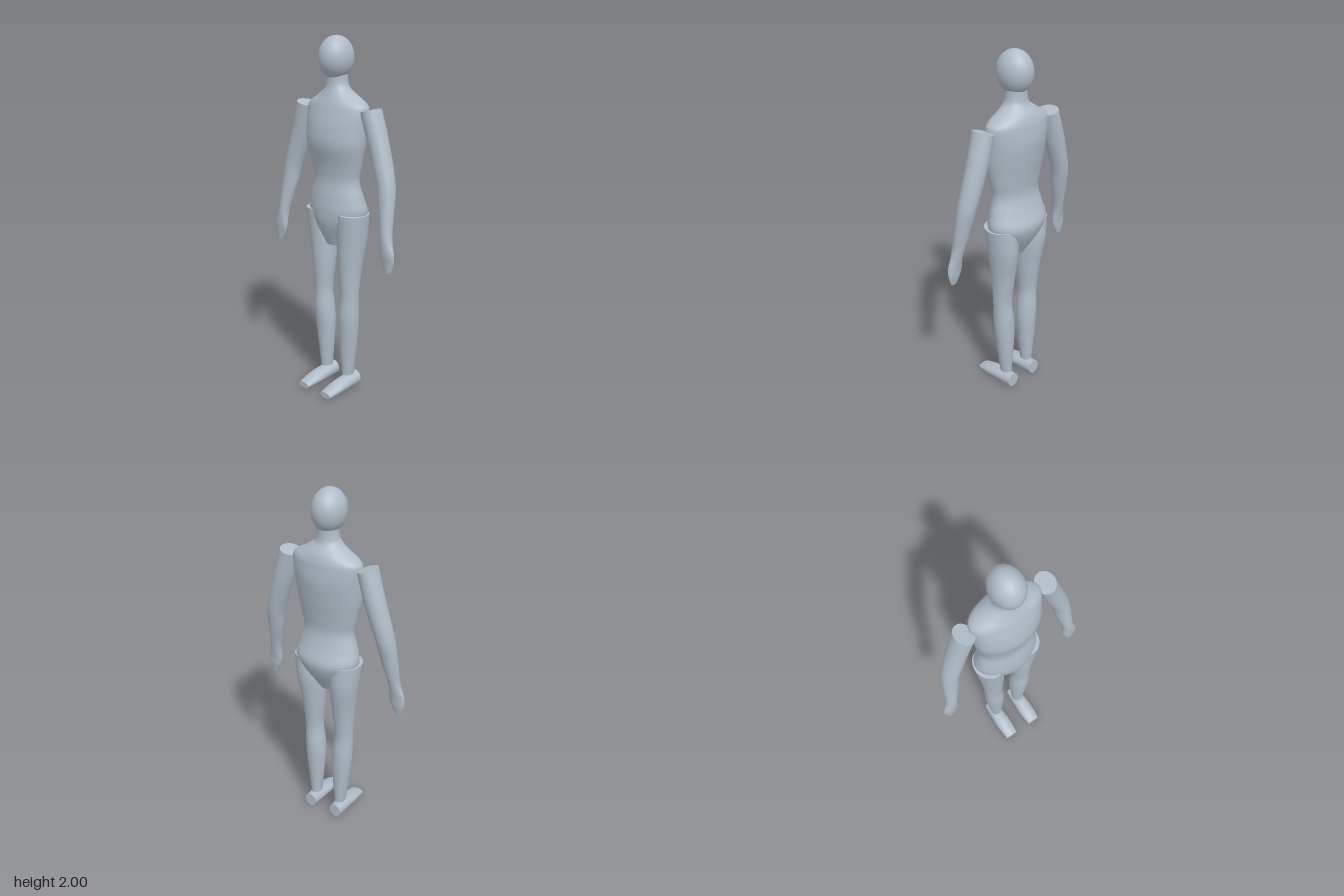
import * as THREE from 'three';

const SEG = 40;

// Sections are [x, y, z, halfWidth, halfDepth], listed from low y to high y.
// They are smoothly interpolated and skinned, with flat caps at both ends.
function loft(sections, steps = 6) {
  const n = sections.length, rows = [];
  for (let i = 0; i < n - 1; i++) {
    const [p0, p1, p2, p3] = [i - 1, i, i + 1, i + 2].map(k => sections[Math.min(n - 1, Math.max(0, k))]);
    for (let s = 0; s < steps; s++) {
      const t = s / steps;
      rows.push(p1.map((b, k) => {
        const a = p0[k], c = p2[k], d = p3[k];
        return 0.5 * (2 * b + (c - a) * t + (2 * a - 5 * b + 4 * c - d) * t * t + (3 * b - a - 3 * c + d) * t * t * t);
      }));
    }
  }
  rows.push(sections[n - 1]);

  const pos = [], idx = [];
  const ring = r => {
    const lo = rows[Math.max(0, r - 1)], hi = rows[Math.min(rows.length - 1, r + 1)];
    const dx = hi[0] - lo[0], dy = hi[1] - lo[1], len = Math.hypot(dx, dy);
    const [x, y, z, w, d] = rows[r];
    for (let j = 0; j < SEG; j++) {
      const a = j / SEG * Math.PI * 2, u = w * Math.cos(a);
      pos.push(x + u * dy / len, y - u * dx / len, z + d * Math.sin(a));
    }
  };
  rows.forEach((_, r) => ring(r));
  for (let r = 0; r < rows.length - 1; r++) {
    for (let j = 0; j < SEG; j++) {
      const a = r * SEG + j, b = r * SEG + (j + 1) % SEG;
      idx.push(a, a + SEG, b, b, a + SEG, b + SEG);
    }
  }
  // caps with their own vertices so that the rims stay sharp
  for (const r of [0, rows.length - 1]) {
    const start = pos.length / 3;
    ring(r);
    pos.push(rows[r][0], rows[r][1], rows[r][2]);
    for (let j = 0; j < SEG; j++) {
      const a = start + j, b = start + (j + 1) % SEG;
      idx.push(start + SEG, ...(r === 0 ? [a, b] : [b, a]));
    }
  }
  const g = new THREE.BufferGeometry();
  g.setAttribute('position', new THREE.Float32BufferAttribute(pos, 3));
  g.setIndex(idx);
  g.computeVertexNormals();
  return g;
}

// Section given by its front and back z
const span = (x, y, w, front, back) => [x, y, (front + back) / 2, w, (front - back) / 2];

export function createModel() {
  const model = new THREE.Group();
  const material = new THREE.MeshStandardMaterial({ color: 0xb0bcc8 });
  material.name = 'blue grey';
  const add = (name, geometry) => {
    const mesh = new THREE.Mesh(geometry, material);
    mesh.name = name;
    model.add(mesh);
    return mesh;
  };

  // Head
  const head = add('head', new THREE.SphereGeometry(1, 40, 28));
  head.scale.set(0.088, 0.113, 0.104);
  head.position.set(0, 1.887, -0.02);

  // Torso with neck
  add('torso', loft([
    span(0, 0.93, 0.095, 0.053, -0.105),
    span(0, 1.0, 0.155, 0.075, -0.143),
    span(0, 1.07, 0.19, 0.081, -0.16),
    span(0, 1.15, 0.175, 0.075, -0.133),
    span(0, 1.24, 0.152, 0.063, -0.11),
    span(0, 1.33, 0.168, 0.073, -0.118),
    span(0, 1.44, 0.19, 0.1, -0.135),
    span(0, 1.54, 0.198, 0.092, -0.146),
    span(0, 1.62, 0.203, 0.071, -0.141),
    span(0, 1.655, 0.186, 0.06, -0.135),
    span(0, 1.69, 0.127, 0.047, -0.122),
    span(0, 1.73, 0.073, 0.033, -0.094),
    span(0, 1.77, 0.058, 0.027, -0.086),
    span(0, 1.83, 0.055, 0.025, -0.084),
  ]));

  // Tapered block between the legs
  add('crotch', loft([span(0, 0.872, 0.055, 0.03, -0.07), span(0, 0.93, 0.095, 0.053, -0.105)], 1));

  for (const [side, label] of [[1, 'left'], [-1, 'right']]) {
    // Arm from fingertips up to the open shoulder end
    add(label + 'Arm', loft([
      [0.416, 0.812, 0.024, 0.018, 0.008],
      [0.412, 0.86, 0.021, 0.038, 0.015],
      [0.405, 0.91, 0.021, 0.045, 0.021],
      [0.39, 1.0, 0.012, 0.033, 0.032],
      [0.366, 1.15, -0.013, 0.046, 0.042],
      [0.345, 1.275, -0.029, 0.05, 0.052],
      [0.286, 1.463, -0.037, 0.055, 0.058],
      [0.235, 1.632, -0.033, 0.052, 0.063],
    ].map(([x, ...rest]) => [x * side, ...rest])));

    // Leg from ankle to hip
    add(label + 'Leg', loft([
      span(0.085, 0.088, 0.032, 0.005, -0.07),
      span(0.089, 0.34, 0.057, 0.026, -0.084),
      span(0.094, 0.46, 0.059, 0.036, -0.086),
      span(0.101, 0.58, 0.053, 0.031, -0.079),
      span(0.1, 0.75, 0.065, 0.043, -0.1),
      span(0.107, 0.92, 0.079, 0.055, -0.128),
      span(0.115, 1.065, 0.086, 0.068, -0.127),
    ].map(([x, ...rest]) => [x * side, ...rest])));

    // Foot, lofted from heel to toe and laid along z
    const foot = loft([
      [0.088, -0.098, -0.042, 0.038, 0.042],
      [0.088, 0, -0.039, 0.045, 0.039],
      [0.088, 0.08, -0.031, 0.047, 0.031],
      [0.088, 0.16, -0.018, 0.039, 0.018],
    ].map(([x, ...rest]) => [x * side, ...rest]));
    foot.rotateX(Math.PI / 2);
    add(label + 'Foot', foot);
  }
  return model;
}
